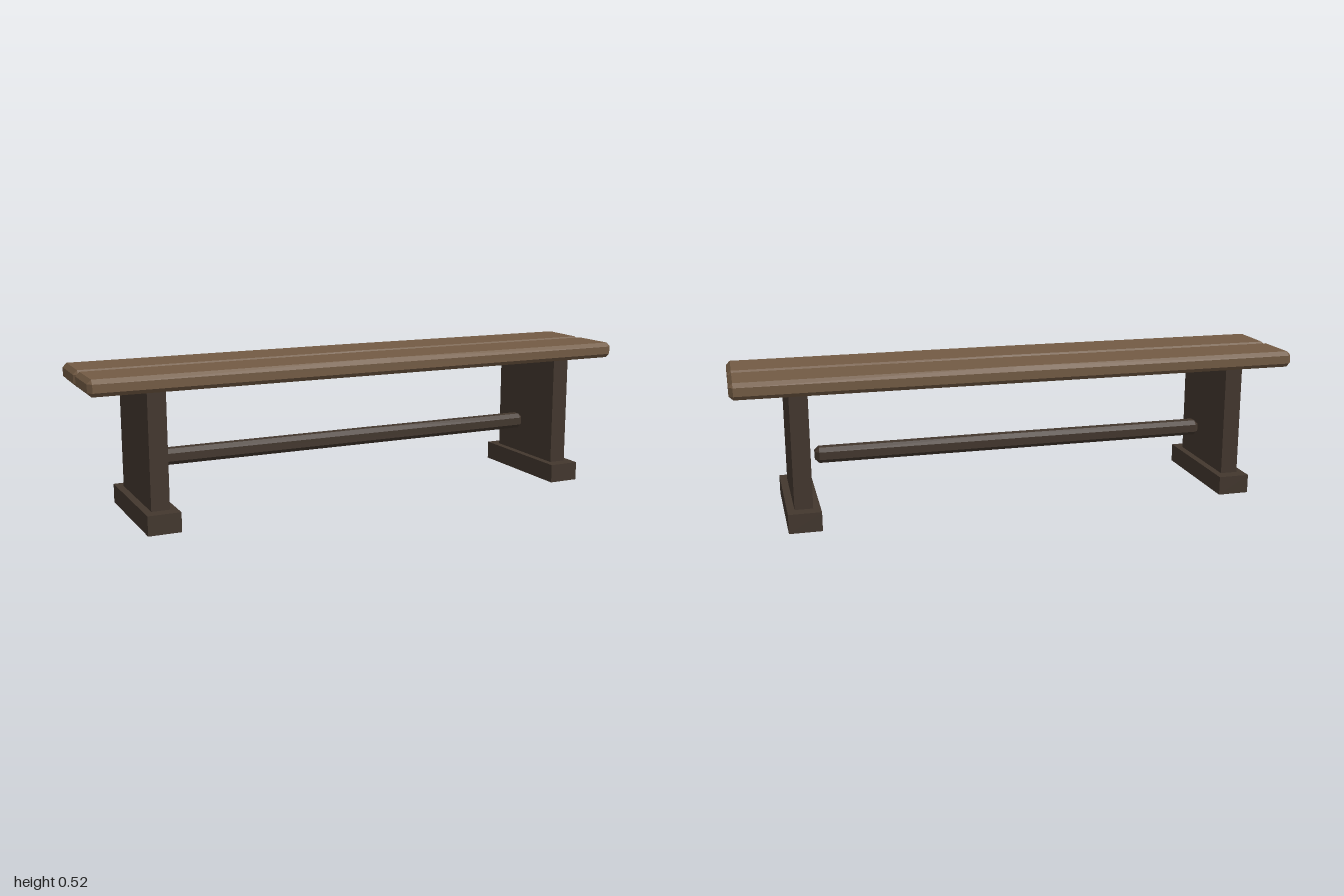
import * as THREE from 'three';
import { ConvexGeometry } from 'three/addons/geometries/ConvexGeometry.js';

const plankWood = new THREE.MeshStandardMaterial({ color: 0x735b44, flatShading: true });
const darkWood = new THREE.MeshStandardMaterial({ color: 0x43372e, flatShading: true });

// Hand-hewn beam along x with chamfered edges and ends; the middle bows out slightly
function beamGeometry(length, height, depth, chamfer, bow) {
  const points = [];
  const ring = (x, inset, swell) => {
    const h = height / 2 - inset, d = depth / 2 - inset;
    for (const sy of [-1, 1]) for (const sz of [-1, 1]) {
      const lift = sy > 0 ? swell : 0;
      if (inset > 0) points.push(new THREE.Vector3(x, sy * h, sz * d));
      else points.push(
        new THREE.Vector3(x, sy * h + lift, sz * (d - chamfer)),
        new THREE.Vector3(x, sy * (h - chamfer), sz * d));
    }
  };
  for (const s of [-1, 1]) {
    ring(s * length / 2, chamfer, 0);
    ring(s * (length / 2 - chamfer), 0, 0);
  }
  if (bow > 0) ring(0.05, 0, bow);
  return new ConvexGeometry(points);
}

function add(group, name, geometry, material, x, y, z) {
  const mesh = new THREE.Mesh(geometry, material);
  mesh.name = name;
  mesh.position.set(x, y, z);
  group.add(mesh);
  return mesh;
}

export function createModel() {
  const bench = new THREE.Group();
  bench.name = 'bench';

  // Seat: two planks with a narrow gap
  add(bench, 'frontPlank', beamGeometry(1.99, 0.056, 0.194, 0.014, 0.002), plankWood, 0, 0.484, 0.101);
  const back = add(bench, 'backPlank', beamGeometry(1.99, 0.057, 0.192, 0.014, 0.002), plankWood, 0, 0.4845, -0.099);
  back.rotation.x = 0.01;

  // Slab legs standing on wider feet
  for (const [side, s] of [['left', 1], ['right', -1]]) {
    add(bench, side + 'Leg', new THREE.BoxGeometry(0.062, 0.392, 0.355), darkWood, s * 0.776, 0.262, 0);
    add(bench, side + 'Foot', new THREE.BoxGeometry(0.112, 0.067, 0.444), darkWood, s * 0.776, 0.0335, 0);
  }

  // Stretcher between the legs
  add(bench, 'stretcher', beamGeometry(1.435, 0.055, 0.056, 0.014, 0.001), darkWood, 0, 0.202, 0);

  return bench;
}
